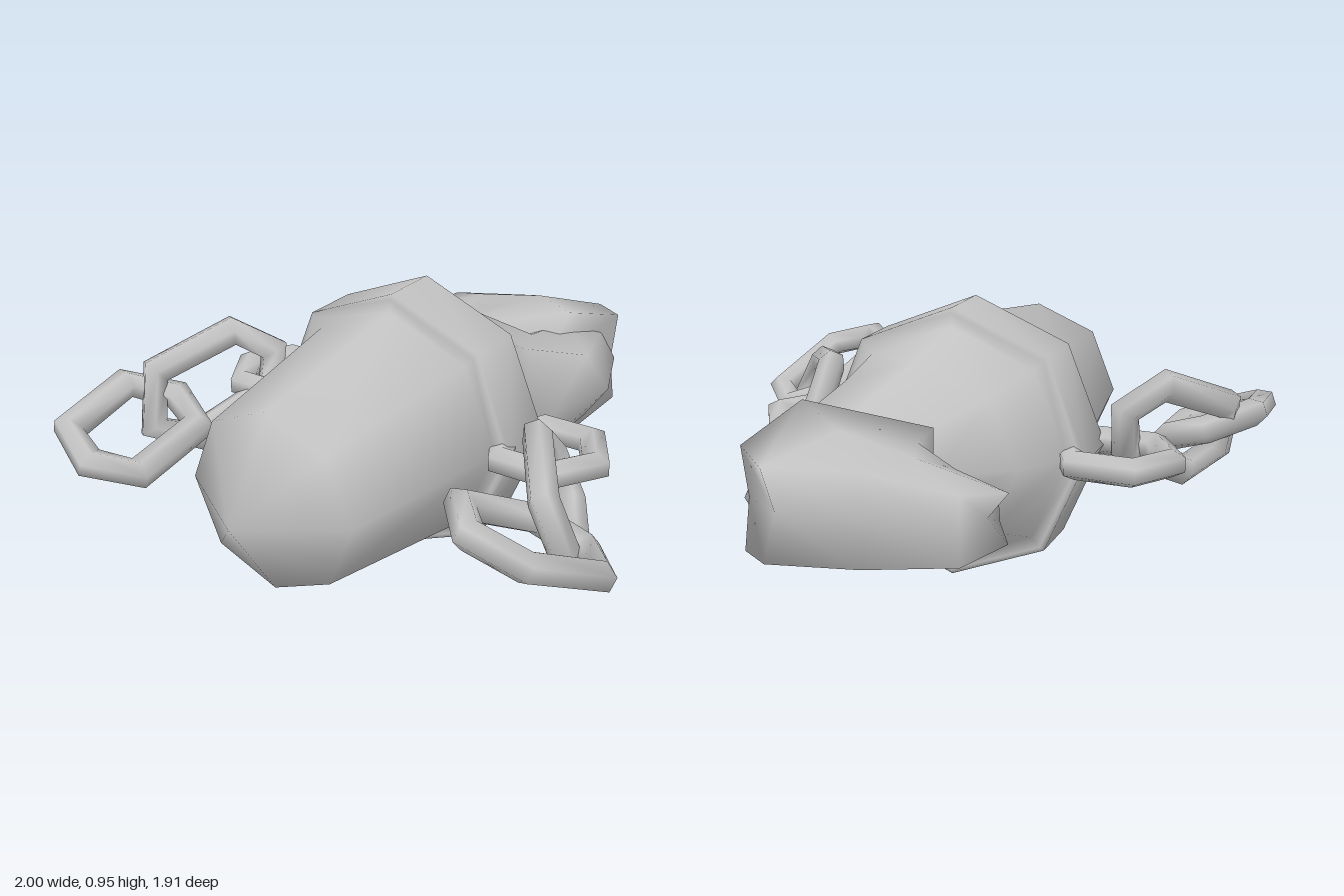
import * as THREE from 'three';
import { mergeVertices } from 'three/addons/utils/BufferGeometryUtils.js';

const MID = 0.48; // height of the main axis
const V = (x, y, z) => new THREE.Vector3(x, y, z);

// Skin a list of equal rings; either closed into a loop or capped at both ends.
function loft(rings, closed = false) {
  const n = rings[0].length, pts = rings.flat(), idx = [];
  const last = closed ? rings.length : rings.length - 1;
  for (let i = 0; i < last; i++) {
    const a = i * n, b = ((i + 1) % rings.length) * n;
    for (let j = 0; j < n; j++) {
      const k = (j + 1) % n;
      idx.push(a + j, b + j, b + k, a + j, b + k, a + k);
    }
  }
  if (!closed) {
    [0, rings.length - 1].forEach((r, end) => {
      const c = rings[r].reduce((s, p) => s.add(p), V(0, 0, 0)).divideScalar(n);
      const ci = pts.push(c) - 1;
      for (let j = 0; j < n; j++) {
        const p = r * n + j, q = r * n + (j + 1) % n;
        if (end) idx.push(ci, q, p); else idx.push(ci, p, q);
      }
    });
  }
  // Turn the faces outward when the enclosed volume is negative
  let vol = 0;
  for (let i = 0; i < idx.length; i += 3) {
    vol += pts[idx[i]].dot(V(0, 0, 0).crossVectors(pts[idx[i + 1]], pts[idx[i + 2]]));
  }
  if (vol < 0) idx.reverse();
  const g = new THREE.BufferGeometry().setFromPoints(pts);
  g.setIndex(idx);
  const smooth = mergeVertices(g);
  smooth.computeVertexNormals();
  return smooth;
}

// Hexagonal chain link: a six-sided tube around six centre points
function linkGeometry(path, r = 0.05) {
  const p = path.map(a => V(...a));
  const normal = V(0, 0, 0);
  p.forEach((a, i) => normal.add(V(0, 0, 0).crossVectors(a, p[(i + 1) % 6])));
  normal.normalize();
  return loft(p.map((a, i) => {
    const t = p[(i + 1) % 6].clone().sub(p[(i + 5) % 6]).normalize();
    const out = V(0, 0, 0).crossVectors(t, normal).normalize();
    const up = V(0, 0, 0).crossVectors(out, t).normalize();
    return Array.from({ length: 6 }, (_, k) => {
      const w = k * Math.PI / 3;
      return a.clone().addScaledVector(out, Math.sin(w) * r * 1.15).addScaledVector(up, Math.cos(w) * r);
    });
  }), true);
}

// Eight-sided ring spanning two side points, with a half height
function octagon([ix, iz, ox, oz, h]) {
  return Array.from({ length: 8 }, (_, k) => {
    const c = Math.cos(k * Math.PI / 4), s = Math.sin(k * Math.PI / 4);
    return V((ix + ox) / 2 + c * (ox - ix) / 2, MID + s * h, (iz + oz) / 2 + c * (oz - iz) / 2);
  });
}

export function createModel() {
  const model = new THREE.Group();
  model.name = 'chainedHorn';
  const metal = new THREE.MeshStandardMaterial({ color: 0xc2c2c2 });
  metal.name = 'grey metal';
  const add = (name, geometry, parent = model) => {
    const m = new THREE.Mesh(geometry, metal);
    m.name = name;
    parent.add(m);
  };

  // Pointed front and collar [radius, z], then the bent neck [inner x, z, outer x, z, half height]
  const round = [[0, 0.95], [0.31, 0.75], [0.41, 0.1], [0.455, 0.1], [0.473, 0.09], [0.473, -0.12], [0.455, -0.13], [0.41, -0.13]]
    .map(([r, z]) => [-0.05 - r, z, -0.05 + r, z, r]);
  const neck = [
    [-0.35, -0.29, 0.38, -0.26, 0.32],
    [-0.13, -0.44, 0.44, -0.57, 0.17],
    [0.02, -0.64, 0.33, -0.84, 0.15],
  ];
  add('bodyWithCollarAndNeck', loft([...round, ...neck].map(octagon)));

  // Hooked head: sections from inner side over the ridge to outer side [x, height above axis, z]
  const head = [
    [[-0.12, 0, -0.44], [-0.12, 0.16, -0.44], [0.26, 0.25, -0.59], [0.33, 0.17, -0.85], [0.32, 0, -0.83]],
    [[-0.2, 0, -0.53], [-0.14, 0.16, -0.6], [0.05, 0.22, -0.75], [0.2, 0.15, -0.96], [0.18, 0, -0.92]],
    [[-0.31, 0, -0.62], [-0.29, 0.12, -0.67], [-0.2, 0.17, -0.76], [-0.08, 0.15, -0.89], [-0.1, 0, -0.88]],
    [[-0.39, 0, -0.57], [-0.41, 0.05, -0.61], [-0.47, 0.08, -0.7], [-0.38, 0.11, -0.85], [-0.38, 0, -0.85]],
  ].map(s => [
    ...s.map(([x, h, z]) => V(x, MID + h, z)),
    ...s.slice(1, 4).reverse().map(([x, h, z]) => V(x, MID - h, z)),
  ]);
  add('hookedHead', loft(head));

  // Chains: three links on each side
  const chains = {
    leftChain: [
      [[0.67, 0.48, -0.02], [0.58, 0.48, -0.17], [0.4, 0.48, -0.17],
        [0.33, 0.48, -0.02], [0.4, 0.48, 0.12], [0.58, 0.48, 0.12]],
      [[0.72, 0.57, 0.42], [0.55, 0.63, 0.16], [0.54, 0.52, 0.04],
        [0.62, 0.36, 0.04], [0.78, 0.31, 0.3], [0.8, 0.41, 0.42]],
      [[0.66, 0.46, 0.35], [0.82, 0.4, 0.335], [0.94, 0.42, 0.475],
        [0.84, 0.55, 0.735], [0.665, 0.6, 0.75], [0.55, 0.6, 0.615]],
    ],
    rightChain: [
      [[-0.78, 0.48, -0.03], [-0.69, 0.48, -0.17], [-0.5, 0.48, -0.17],
        [-0.43, 0.48, -0.02], [-0.5, 0.48, 0.12], [-0.69, 0.48, 0.12]],
      [[-0.6, 0.61, 0.05], [-0.71, 0.69, 0.14], [-0.87, 0.58, 0.38],
        [-0.83, 0.4, 0.45], [-0.74, 0.34, 0.33], [-0.6, 0.47, 0.08]],
      [[-0.95, 0.54, 0.45], [-0.81, 0.49, 0.345], [-0.665, 0.43, 0.4],
        [-0.645, 0.39, 0.72], [-0.78, 0.43, 0.81], [-0.925, 0.49, 0.755]],
    ],
  };
  for (const [name, links] of Object.entries(chains)) {
    const chain = new THREE.Group();
    chain.name = name;
    model.add(chain);
    links.forEach((path, i) => add(`link${i + 1}`, linkGeometry(path), chain));
  }
  return model;
}
